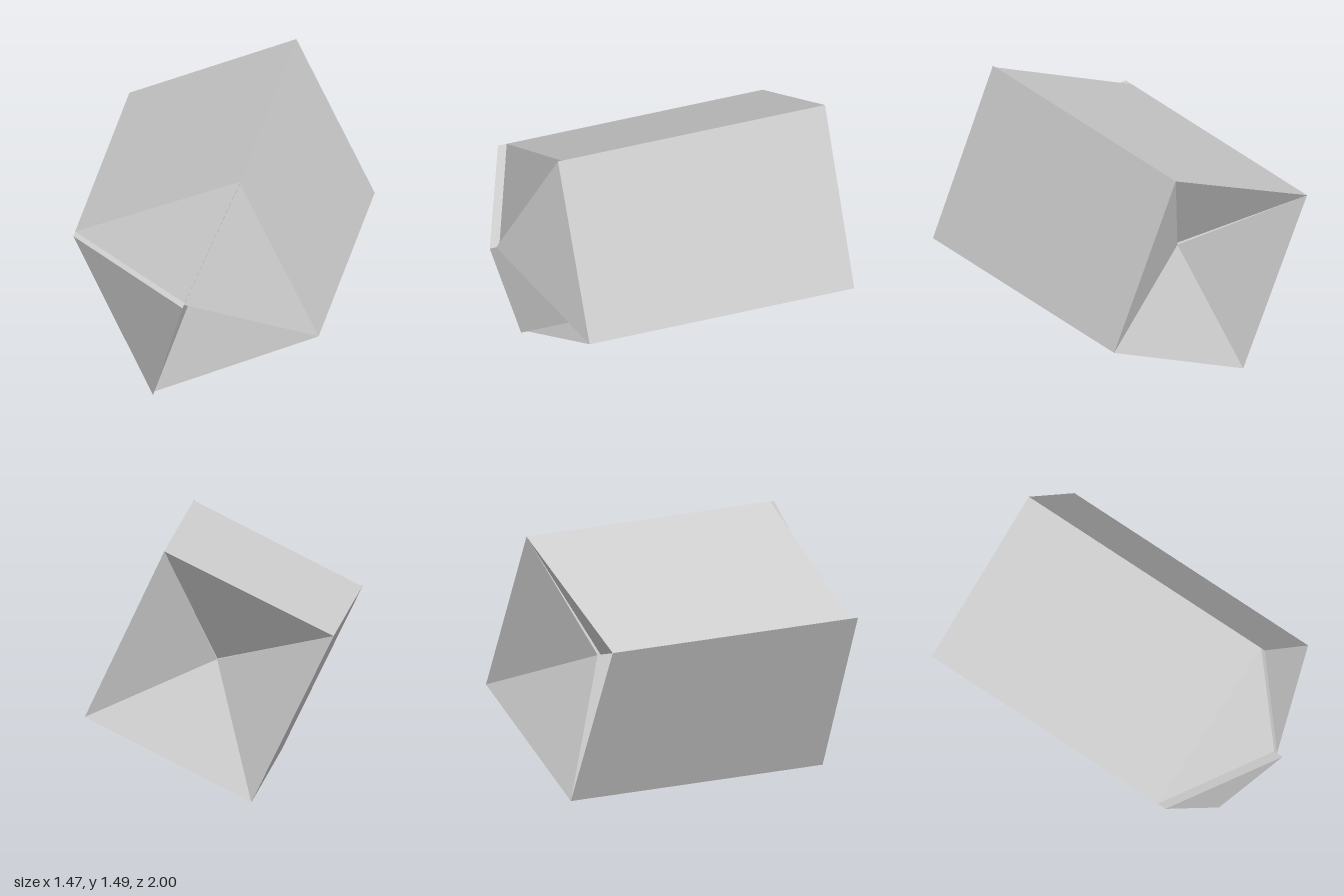
import * as THREE from 'three';

// Square cross-section corners and the hub where the four wedges meet
const A = [-0.735, 1.0], B = [0.262, 1.485], C = [0.73, 0.49], D = [-0.25, 0];
const HUB = [-0.015, 0.79];
const BACK = -1;

// Each wedge: two outer corners, front depths [p, q, hub], hub depth at the back, and its caps
const WEDGES = [
  { name: 'topWedge', p: A, q: B, front: [0.61, 0.655, 0.94], pit: -0.66, caps: ['front', 'back'] },
  { name: 'rightWedge', p: B, q: C, front: [0.68, 0.665, 0.96], pit: -0.68, caps: ['front', 'back'] },
  { name: 'bottomWedge', p: C, q: D, front: [0.665, 0.67, 0.95], pit: -0.68, caps: ['back'] },
  { name: 'leftWedge', p: D, q: A, front: [0.71, 0.665, 1.0], pit: -0.68, caps: ['front'] },
];

// Flat-shaded polygon from corners given in order
function panel(name, corners, material) {
  const points = [];
  for (let i = 1; i < corners.length - 1; i++) {
    points.push(...corners[0], ...corners[i], ...corners[i + 1]);
  }
  const geometry = new THREE.BufferGeometry();
  geometry.setAttribute('position', new THREE.Float32BufferAttribute(points, 3));
  geometry.computeVertexNormals();
  const mesh = new THREE.Mesh(geometry, material);
  mesh.name = name;
  return mesh;
}

function makeWedge({ name, p, q, front, pit, caps }, material) {
  const wedge = new THREE.Group();
  wedge.name = name;
  const [pf, qf, hf] = [p, q, HUB].map((c, i) => [...c, front[i]]);
  const pb = [...p, BACK], qb = [...q, BACK], hb = [...HUB, pit];

  // Outer wall and the two inner partitions running to the hub
  wedge.add(panel('outerWall', [pf, qf, qb, pb], material));
  wedge.add(panel('firstPartition', [hf, pf, pb, hb], material));
  wedge.add(panel('secondPartition', [qf, hf, hb, qb], material));

  // Raised front facet and sunken back facet
  if (caps.includes('front')) wedge.add(panel('frontFacet', [pf, hf, qf], material));
  if (caps.includes('back')) wedge.add(panel('backFacet', [pb, qb, hb], material));
  return wedge;
}

export function createModel() {
  const grey = new THREE.MeshStandardMaterial({ color: 0xcccccc, side: THREE.DoubleSide, flatShading: true });
  grey.name = 'light grey';
  const model = new THREE.Group();
  model.name = 'facetedBlock';
  for (const wedge of WEDGES) model.add(makeWedge(wedge, grey));
  return model;
}
